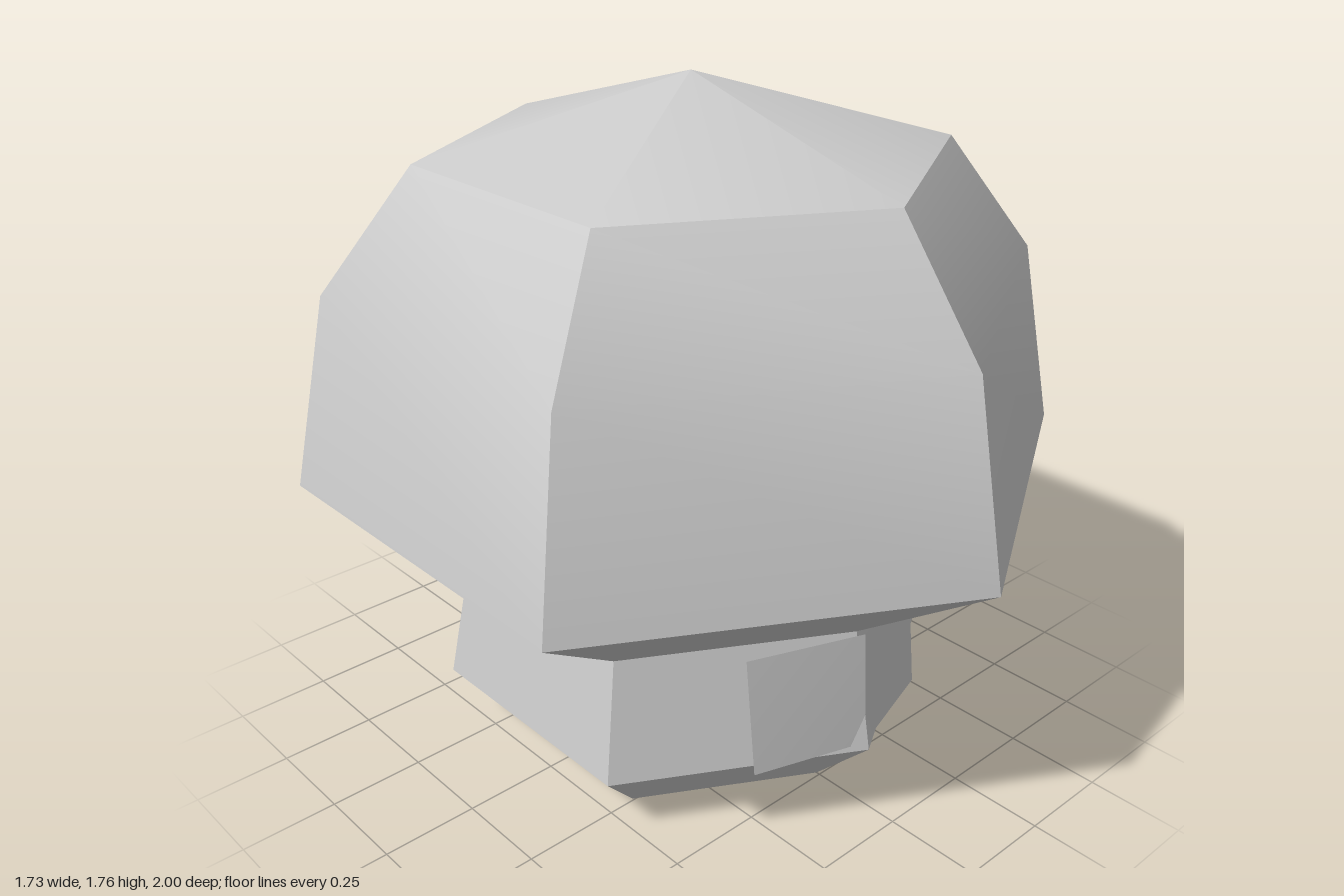
import * as THREE from 'three';
import { toCreasedNormals } from 'three/addons/utils/BufferGeometryUtils.js';

export function createModel() {
  const group = new THREE.Group();
  const grey = new THREE.MeshStandardMaterial({ color: 0xcccccc });
  grey.name = 'grey';
  const greySheet = grey.clone();
  greySheet.side = THREE.DoubleSide;

  // Six-sided turned body with a corner facing front; soft up the dome, sharp at the corners
  function hexBody(name, profile) {
    const points = profile.map(([r, y]) => new THREE.Vector2(r, y));
    const geometry = toCreasedNormals(new THREE.LatheGeometry(points, 6), Math.PI / 6);
    const mesh = new THREE.Mesh(geometry, grey);
    mesh.name = name;
    group.add(mesh);
  }

  hexBody('stem', [[0, 0], [0.49, 0], [0.66, 0.17], [0.6, 0.49]]);
  hexBody('cap', [[0.6, 0.49], [1, 0.77], [0.9, 1.265], [0.665, 1.57], [0, 1.76]]);

  // Thin folded panel on the front corner of the stem
  const columns = [[-0.295, 0.552, 0.518], [0, 0.647, 0.628], [0.295, 0.552, 0.518]];
  const panel = new THREE.PlaneGeometry(1, 1, 2, 1);
  columns.forEach(([x, zBottom, zTop], i) => {
    panel.attributes.position.setXYZ(i, x, 0.495, zTop);
    panel.attributes.position.setXYZ(i + 3, x, 0.185, zBottom);
  });
  const face = new THREE.Mesh(toCreasedNormals(panel, Math.PI / 6), greySheet);
  face.name = 'facePanel';
  group.add(face);

  return group;
}
